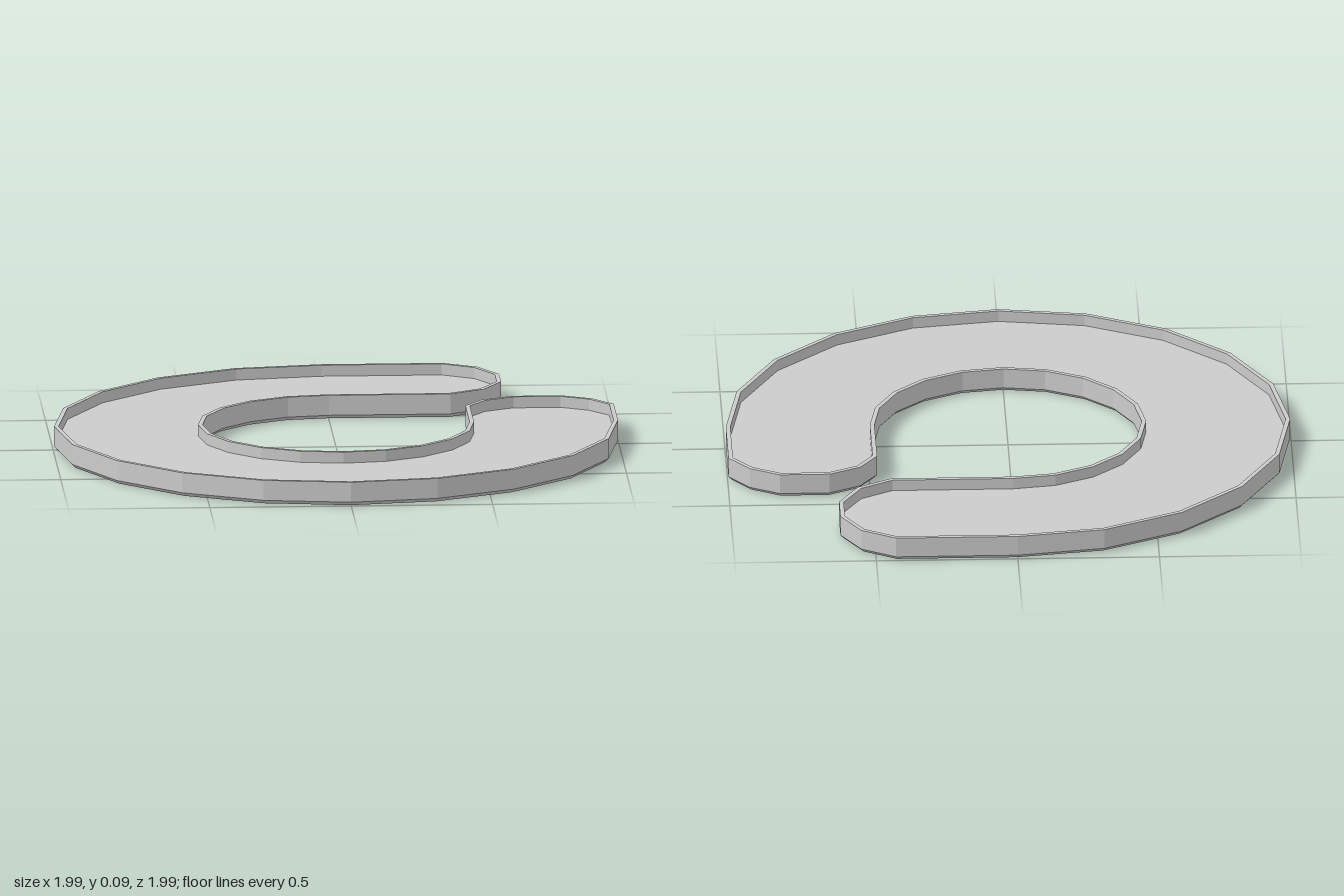
import * as THREE from 'three';

// Flat outline in (x, z): a 20-sided three-quarter ring with blunt rounded ends
function ringOutline() {
  const points = [];
  const arc = (radius, index) => {
    const a = (index * Math.PI) / 10;
    points.push(new THREE.Vector2(radius * Math.cos(a), radius * Math.sin(a)));
  };
  const add = list => list.forEach(([x, z]) => points.push(new THREE.Vector2(x, z)));
  for (let i = 0; i <= 15; i++) arc(0.997, i);
  add([[0.43, -0.997], [0.55, -0.925], [0.62, -0.8], [0.62, -0.67], [0.55, -0.545], [0.43, -0.473]]);
  for (let i = 15; i >= 0; i--) arc(0.472, i);
  add([[0.472, -0.275], [0.535, -0.37], [0.645, -0.428], [0.82, -0.428], [0.925, -0.37], [0.997, -0.275]]);
  return points;
}

// Moves every edge inwards by d, with mitred corners
function inset(points, d) {
  const n = points.length;
  const normal = (p, q) => new THREE.Vector2(p.y - q.y, q.x - p.x).normalize();
  return points.map((p, i) => {
    const n1 = normal(points[(i + n - 1) % n], p);
    const n2 = normal(p, points[(i + 1) % n]);
    const miter = n1.clone().add(n2).divideScalar(1 + n1.dot(n2));
    return p.clone().addScaledVector(miter, d);
  });
}

// Joins loops of equal length into a skin and closes its first and last loop
function loft(loops) {
  const n = loops[0].points.length;
  const positions = [], indices = [];
  for (const { points, y } of loops) for (const p of points) positions.push(p.x, y, p.y);
  for (let k = 0; k < loops.length - 1; k++) {
    for (let i = 0; i < n; i++) {
      const a = k * n + i, b = k * n + ((i + 1) % n);
      indices.push(a, a + n, b, b, a + n, b + n);
    }
  }
  const cap = (k, facesUp) => {
    const pts = loops[k].points;
    for (const [a, b, c] of THREE.ShapeUtils.triangulateShape(pts, [])) {
      const up = THREE.ShapeUtils.area([pts[a], pts[b], pts[c]]) < 0;
      const order = up === facesUp ? [a, b, c] : [a, c, b];
      indices.push(...order.map(i => k * n + i));
    }
  };
  cap(0, false);
  cap(loops.length - 1, true);
  const geometry = new THREE.BufferGeometry();
  geometry.setAttribute('position', new THREE.Float32BufferAttribute(positions, 3));
  geometry.setIndex(indices);
  const flat = geometry.toNonIndexed();
  flat.computeVertexNormals();
  return flat;
}

export function createModel() {
  const group = new THREE.Group();
  const outer = ringOutline();
  const inner = inset(outer, 0.016);

  // Shallow tray: chamfered base, upright wall, thin lip and recessed floor
  const tray = new THREE.Mesh(
    loft([
      { points: inset(outer, 0.012), y: 0 },
      { points: outer, y: 0.013 },
      { points: outer, y: 0.085 },
      { points: inner, y: 0.085 },
      { points: inner, y: 0.045 },
    ]),
    new THREE.MeshStandardMaterial({ color: 0xcccccc, flatShading: true })
  );
  tray.name = 'openRingTray';
  group.add(tray);
  return group;
}
